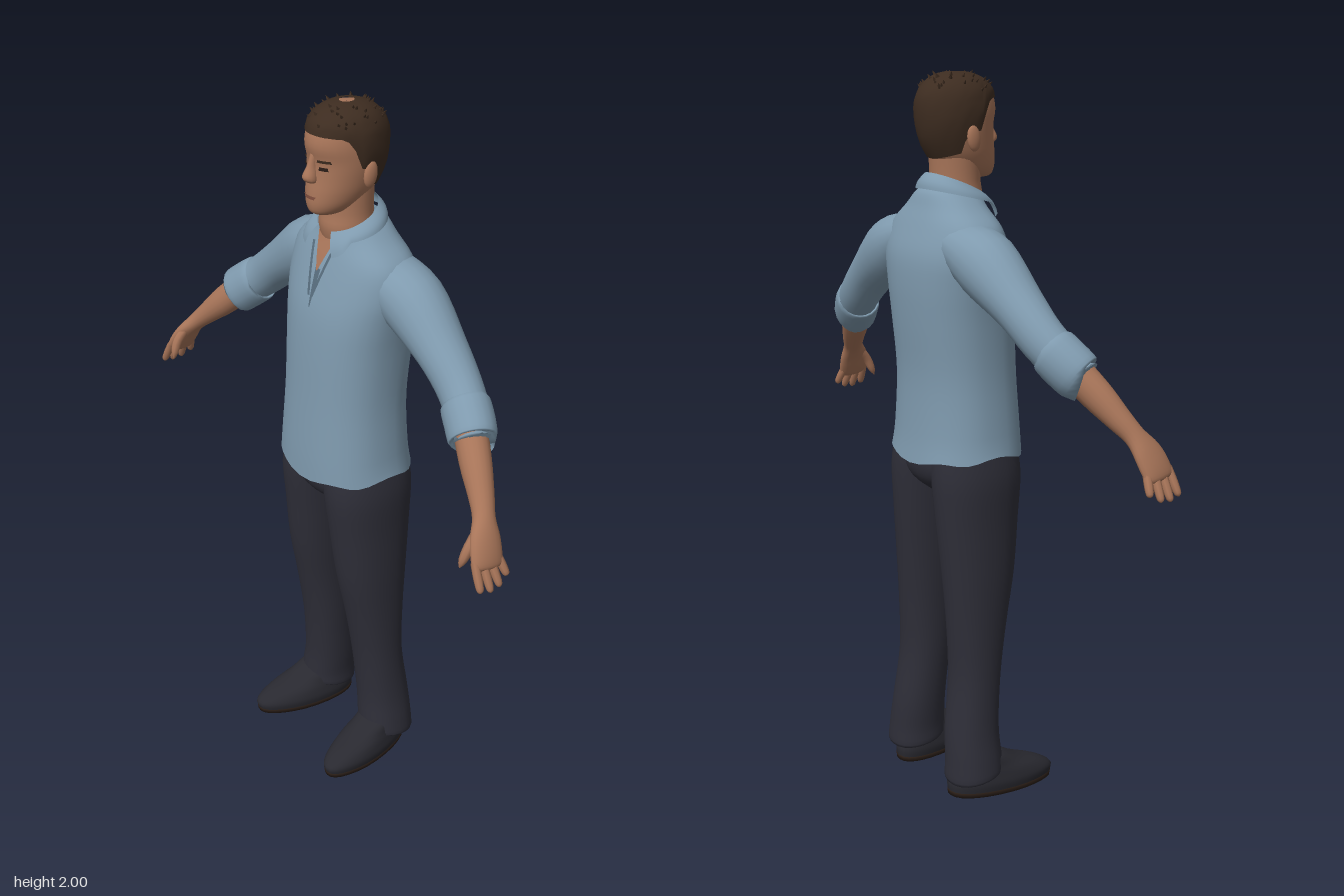
import * as THREE from 'three';
import { mergeGeometries } from 'three/addons/utils/BufferGeometryUtils.js';

const mat = (name, color, side = THREE.FrontSide) => {
  const m = new THREE.MeshStandardMaterial({ color, side });
  m.name = name;
  return m;
};

// Surface from fn(u, v); du x dv points outward
function grid(fn, nu, nv, closed = true) {
  const cols = closed ? nv : nv + 1, pos = [], idx = [];
  for (let i = 0; i <= nu; i++) for (let j = 0; j < cols; j++) pos.push(...fn(i / nu, j / nv));
  for (let i = 0; i < nu; i++) for (let j = 0; j < nv; j++) {
    const k = (j + 1) % cols;
    const a = i * cols + j, b = a + cols, c = i * cols + k, d = c + cols;
    idx.push(a, b, c, b, d, c);
  }
  const g = new THREE.BufferGeometry();
  g.setAttribute('position', new THREE.Float32BufferAttribute(pos, 3));
  g.setIndex(idx);
  g.computeVertexNormals();
  return g;
}

// Smooth interpolation of rows [x, y, z, radiusAcross, radiusDepth]
function sample(rows, u) {
  const n = rows.length - 1, f = Math.min(Math.max(u, 0), 1) * n;
  const i = Math.min(Math.floor(f), n - 1), t = f - i;
  const at = k => rows[Math.min(Math.max(k, 0), n)];
  return rows[0].map((_, c) => {
    const [p, q, r, s] = [at(i - 1)[c], at(i)[c], at(i + 1)[c], at(i + 2)[c]];
    const v = q + 0.5 * t * (r - p + t * (2 * p - 5 * q + 4 * r - s + t * (3 * (q - r) + s - p)));
    return c > 2 ? Math.max(v, 0.0005) : v;
  });
}

function sampleAtY(rows, y) {
  let lo = 0, hi = 1;
  for (let i = 0; i < 30; i++) {
    const m = (lo + hi) / 2;
    if (sample(rows, m)[1] < y) lo = m; else hi = m;
  }
  return sample(rows, lo);
}

const spow = (v, p) => Math.sign(v) * Math.abs(v) ** p;

// Body of horizontal rings
function stack(rows, { seg = 28, steps = 4, p = 1, warp = null } = {}) {
  return grid((u, v) => {
    const [x, y, z, rx, rz] = sample(rows, u), a = v * Math.PI * 2;
    const q = [x + rx * spow(Math.cos(a), p), y, z + rz * spow(Math.sin(a), p)];
    return warp ? warp(q, u, a) : q;
  }, (rows.length - 1) * steps, seg);
}

// Limb of rings turned along its path
function limb(rows, seg = 18, steps = 4) {
  return grid((u, v) => {
    const [x, y, z, r1, r2] = sample(rows, u), a = v * Math.PI * 2;
    const s = sample(rows, u - 0.02), e = sample(rows, u + 0.02);
    const T = new THREE.Vector3(e[0] - s[0], e[1] - s[1], e[2] - s[2]).normalize();
    const B = new THREE.Vector3(0, 0, 1).addScaledVector(T, -T.z).normalize();
    const N = new THREE.Vector3().crossVectors(T, B);
    return new THREE.Vector3(x, y, z).addScaledVector(N, r1 * Math.cos(a)).addScaledVector(B, r2 * Math.sin(a)).toArray();
  }, (rows.length - 1) * steps, seg);
}

// Thin plate lying on the front of a stacked body
function patch(rows, x0, y0, y1, w0, w1, off, p = 1) {
  return grid((u, v) => {
    const y = y0 + (y1 - y0) * u, x = x0 + (0.5 - v) * (w0 + (w1 - w0) * u);
    const r = sampleAtY(rows, y), c = Math.min(Math.abs(x / r[3]), 1) ** (1 / p);
    return [x, y, r[2] + r[4] * Math.sqrt(1 - c * c) ** p + off];
  }, 8, 4, false);
}

function mirrored(g) {
  const m = g.clone().scale(-1, 1, 1), i = m.index;
  for (let k = 0; k < i.count; k += 3) {
    const t = i.getX(k);
    i.setX(k, i.getX(k + 1));
    i.setX(k + 1, t);
  }
  m.computeVertexNormals();
  return m;
}

export function createModel() {
  const root = new THREE.Group();
  root.name = 'standingMan';
  const skin = mat('skin', 0xa87559), shirt = mat('shirt blue', 0x7f9aae, THREE.DoubleSide);
  const trim = mat('shirt shadow blue', 0x566b7b, THREE.DoubleSide), cloth = mat('trouser charcoal', 0x2e2e38);
  const hairMat = mat('hair brown', 0x3d2c20), leather = mat('shoe leather', 0x292930);
  const soleMat = mat('sole brown', 0x2a1e17), eyeMat = mat('eye dark', 0x2b1d17), lipMat = mat('lip', 0x7d4d3d);
  const add = (name, geo, m) => {
    const mesh = new THREE.Mesh(geo, m);
    mesh.name = name;
    root.add(mesh);
  };
  const pair = (name, geo, m) => {
    add(name + 'Left', geo, m);
    add(name + 'Right', mirrored(geo), m);
  };

  // Shirt body with a gently waved hem
  const torso = [[0, 0.97, -0.015, 0.197, 0.156], [0, 1.05, -0.012, 0.188, 0.15], [0, 1.2, -0.015, 0.177, 0.143],
    [0, 1.35, -0.026, 0.181, 0.145], [0, 1.45, -0.035, 0.192, 0.142], [0, 1.53, -0.044, 0.202, 0.129],
    [0, 1.6, -0.045, 0.188, 0.106], [0, 1.65, -0.045, 0.13, 0.086], [0, 1.69, -0.043, 0.085, 0.072], [0, 1.705, -0.04, 0.05, 0.05]];
  add('shirtBody', stack(torso, {
    seg: 36, p: 0.86,
    warp: ([x, y, z], u, a) => [x, y + Math.max(0, 1 - u * 9) * (0.022 * Math.cos(a) ** 2 + 0.006 * Math.cos(6 * a)), z]
  }), shirt);

  // Sleeves and rolled cuffs
  pair('sleeve', limb([[0.1, 1.565, -0.06, 0.06, 0.085], [0.21, 1.517, -0.067, 0.087, 0.085], [0.335, 1.432, -0.062, 0.066, 0.068],
    [0.42, 1.362, -0.053, 0.061, 0.058], [0.49, 1.305, -0.03, 0.058, 0.056]], 20), shirt);
  pair('cuff', limb([[0.445, 1.34, -0.046, 0.054, 0.05], [0.45, 1.336, -0.044, 0.066, 0.062], [0.485, 1.307, -0.03, 0.068, 0.063],
    [0.515, 1.281, -0.015, 0.066, 0.06], [0.52, 1.277, -0.012, 0.055, 0.05], [0.51, 1.286, -0.017, 0.04, 0.038]], 20, 3), shirt);

  // Forearms, hands and fingers
  pair('forearm', limb([[0.48, 1.315, -0.03, 0.044, 0.044], [0.555, 1.24, 0.008, 0.042, 0.04], [0.61, 1.185, 0.035, 0.032, 0.033],
    [0.645, 1.148, 0.055, 0.025, 0.03], [0.672, 1.112, 0.072, 0.022, 0.043], [0.692, 1.075, 0.083, 0.02, 0.047],
    [0.705, 1.048, 0.088, 0.014, 0.042], [0.708, 1.042, 0.089, 0.001, 0.001]]), skin);
  for (let i = 0; i < 4; i++) {
    const z = 0.122 - i * 0.023, len = [0.9, 1, 0.96, 0.75][i], spread = 0.008 - i * 0.007;
    const at = (t, r) => [0.694 + 0.04 * t * len, 1.07 - 0.076 * t * len, z + spread * t, r, r];
    pair('finger' + (i + 1), limb([at(0, 0.011), at(0.5, 0.0115), at(0.9, 0.009), at(1, 0.001)], 8, 3), skin);
  }
  pair('thumb', limb([[0.66, 1.128, 0.085, 0.014, 0.014], [0.664, 1.095, 0.115, 0.014, 0.014], [0.661, 1.06, 0.131, 0.011, 0.011],
    [0.658, 1.04, 0.138, 0.001, 0.001]], 8, 3), skin);

  // Trousers
  add('trouserSeat', stack([[0, 0.875, -0.018, 0.04, 0.08], [0, 0.91, -0.018, 0.13, 0.118], [0, 0.96, -0.018, 0.18, 0.132],
    [0, 1.04, -0.018, 0.17, 0.125]], { p: 0.9 }), cloth);
  pair('trouserLeg', stack([[0.145, 0.085, -0.06, 0.045, 0.05], [0.145, 0.06, -0.06, 0.077, 0.079], [0.142, 0.11, -0.058, 0.076, 0.08],
    [0.131, 0.2, -0.056, 0.073, 0.076], [0.122, 0.35, -0.041, 0.072, 0.073], [0.118, 0.5, -0.031, 0.074, 0.087],
    [0.112, 0.65, -0.022, 0.081, 0.107], [0.104, 0.8, -0.02, 0.087, 0.122], [0.098, 0.92, -0.018, 0.093, 0.132],
    [0.088, 1.0, -0.018, 0.09, 0.128]], {
    seg: 24, p: 0.92,
    // hem rises over the instep and dips at the heel
    warp: ([x, y, z], u, a) => [x, y + Math.max(0, 1 - u * 4) * 0.025 * Math.sin(a), z]
  }), cloth);

  // Shoes, turned slightly outward and narrowing at the toe
  const turn = ([x, y, z]) => [x * (1 - Math.max(0, z - 0.05) * 1.3) + 0.15 + z * 0.15, y, z];
  pair('shoe', stack([[0, 0.012, 0.028, 0.066, 0.158], [0, 0.035, 0.028, 0.07, 0.16], [0, 0.06, 0.012, 0.066, 0.138],
    [0, 0.085, -0.02, 0.06, 0.1], [0, 0.12, -0.052, 0.052, 0.062], [0, 0.13, -0.052, 0.001, 0.001]], { p: 0.88, warp: turn }), leather);
  pair('sole', stack([[0, 0, 0.028, 0.001, 0.001], [0, 0, 0.028, 0.066, 0.158], [0, 0.014, 0.028, 0.068, 0.16],
    [0, 0.015, 0.028, 0.06, 0.15]], { p: 0.88, steps: 1, warp: turn }), soleMat);

  // Neck and head
  add('neck', stack([[0, 1.6, -0.035, 0.07, 0.07], [0, 1.67, -0.018, 0.073, 0.072], [0, 1.72, -0.018, 0.068, 0.067],
    [0, 1.8, -0.02, 0.068, 0.07]]), skin);
  const head = [[0, 1.72, 0.04, 0.001, 0.001], [0, 1.723, 0.042, 0.034, 0.045], [0, 1.745, 0.022, 0.058, 0.077],
    [0, 1.78, 0.002, 0.074, 0.096], [0, 1.82, -0.01, 0.083, 0.102], [0, 1.86, -0.015, 0.088, 0.104], [0, 1.9, -0.013, 0.088, 0.109],
    [0, 1.94, -0.014, 0.082, 0.1], [0, 1.97, -0.014, 0.064, 0.075], [0, 1.986, -0.016, 0.035, 0.04], [0, 1.99, -0.016, 0.001, 0.001]];
  add('head', stack(head, { seg: 32 }), skin);
  add('nose', stack([[0, 1.804, 0.088, 0.001, 0.001], [0, 1.81, 0.094, 0.017, 0.014], [0, 1.824, 0.096, 0.018, 0.021],
    [0, 1.85, 0.089, 0.011, 0.015], [0, 1.88, 0.084, 0.009, 0.009]], { seg: 14 }), skin);
  const ear = new THREE.SphereGeometry(1, 14, 10).scale(0.011, 0.034, 0.02).rotateX(-0.15).translate(0.09, 1.828, -0.022);
  pair('ear', ear, skin);
  pair('eye', patch(head, 0.036, 1.843, 1.852, 0.024, 0.02, 0.003), eyeMat);
  pair('eyebrow', patch(head, 0.038, 1.863, 1.87, 0.036, 0.03, 0.004), hairMat);
  add('mouth', patch(head, 0, 1.766, 1.774, 0.036, 0.046, 0.003), lipMat);

  // Short hair with an uneven crown
  let seed = 7;
  const rnd = () => (seed = (seed * 16807) % 2147483647) / 2147483647;
  const line = [[-1, 1.775], [-0.45, 1.79], [-0.22, 1.84], [0.15, 1.845], [0.32, 1.9], [0.5, 1.925], [1.01, 1.93]];
  const hairline = f => {
    const i = Math.max(1, line.findIndex(q => q[0] >= f)), [a, b] = [line[i - 1], line[i]];
    return a[1] + (b[1] - a[1]) * (f - a[0]) / (b[0] - a[0]);
  };
  const cap = grid((u, v) => {
    const a = v * Math.PI * 2, y0 = hairline(Math.sin(a)), t = 1 - (1 - u) ** 2;
    const y = y0 + (1.989 - y0) * t, r = sampleAtY(head, y), k = 1.025 + 0.05 * Math.min(1, u * 5) + 0.02 * rnd();
    return [r[3] * k * Math.cos(a), y + 0.005 * u, r[2] + r[4] * k * Math.sin(a)];
  }, 14, 40);
  cap.computeVertexNormals();
  const tufts = [];
  for (let i = 0; i < 46; i++) {
    const a = rnd() * Math.PI * 2, y = 1.945 + rnd() * 0.04, r = sampleAtY(head, y);
    const dir = new THREE.Vector3(Math.cos(a) * 0.7, 0.6 + rnd() * 0.5, Math.sin(a) * 0.7 + 0.15).normalize();
    const g = new THREE.ConeGeometry(0.013, 0.034, 5);
    g.applyQuaternion(new THREE.Quaternion().setFromUnitVectors(new THREE.Vector3(0, 1, 0), dir));
    tufts.push(g.translate(r[3] * Math.cos(a), Math.min(y, 1.983), r[2] + r[4] * Math.sin(a)));
  }
  add('hair', cap, hairMat);
  add('hairTufts', mergeGeometries(tufts), hairMat);

  // Open neckline, placket and folded collar
  add('openNeckline', patch(torso, 0, 1.565, 1.665, 0.004, 0.08, 0.006, 0.86), skin);
  add('placket', patch(torso, 0.002, 1.47, 1.57, 0.004, 0.02, 0.004, 0.86), trim);
  for (const s of [1, -1]) {
    add(s > 0 ? 'necklineEdgeLeft' : 'necklineEdgeRight', grid((u, v) => {
      const y = 1.5 + 0.13 * u, x = s * (0.002 + 0.034 * u + 0.009 * v), r = sampleAtY(torso, y);
      return [x, y, r[2] + r[4] + 0.007];
    }, 8, 1, false), trim);
  }
  add('collar', grid((u, v) => {
    const a = Math.PI / 2 + 0.36 + v * (Math.PI * 2 - 0.72), f = Math.sin(a);
    const tip = Math.max(0, f - 0.6) / 0.35, bulge = 0.006 * Math.sin(Math.PI * u);
    const low = 1.674 - 0.024 * f - 0.035 * tip, high = 1.706 - 0.033 * f;
    const rx = 0.108 + 0.055 * tip - (0.03 + 0.055 * tip) * u + bulge, rz = 0.1 - 0.022 * u + bulge;
    return [rx * Math.cos(a), low + (high - low) * u, -0.02 + rz * f];
  }, 6, 36, false), shirt);

  return root;
}
